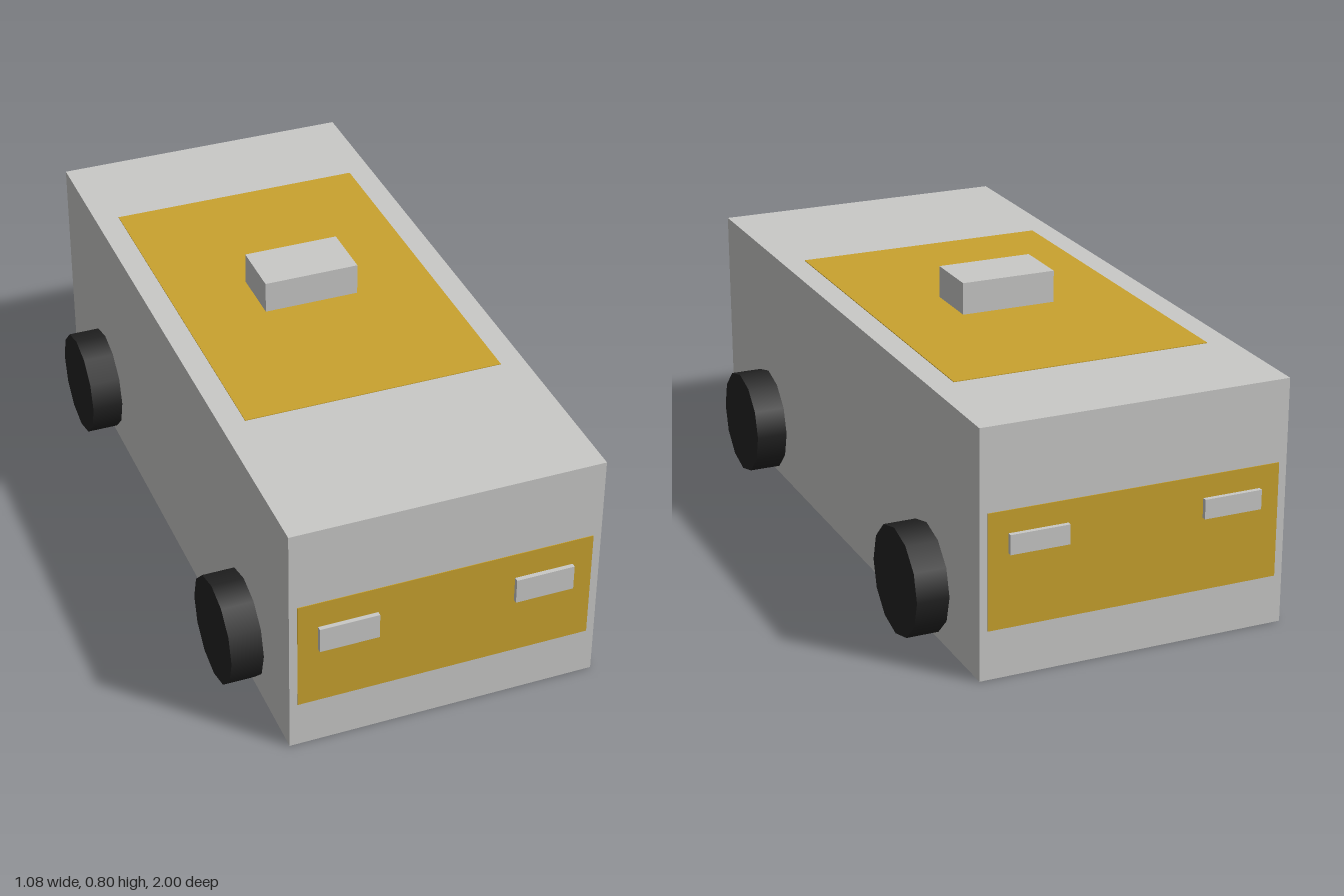
import * as THREE from 'three';

export function createModel() {
  const model = new THREE.Group();
  const bodyGrey = new THREE.MeshStandardMaterial({ name: 'body grey', color: 0xc9c9c7 });
  const panelYellow = new THREE.MeshStandardMaterial({ name: 'panel yellow', color: 0xc9a22e });
  const tyreBlack = new THREE.MeshStandardMaterial({ name: 'tyre black', color: 0x222222 });

  // Box given by its lower and upper limits on each axis
  function block(name, material, [x0, x1], [y0, y1], [z0, z1]) {
    const mesh = new THREE.Mesh(new THREE.BoxGeometry(x1 - x0, y1 - y0, z1 - z0), material);
    mesh.position.set((x0 + x1) / 2, (y0 + y1) / 2, (z0 + z1) / 2);
    mesh.name = name;
    model.add(mesh);
  }

  const top = 0.705, end = 0.985, half = 0.445, skin = 0.002;

  // Body and roof box
  block('body', bodyGrey, [-half, half], [0, top], [-end, end]);
  block('roofBox', bodyGrey, [-0.14, 0.14], [top, 0.8], [-0.18, -0.01]);

  // Painted panels on the roof, front and back
  block('roofPanel', panelYellow, [-0.375, 0.375], [top - skin, top + skin], [-0.66, 0.47]);
  block('frontPanel', panelYellow, [-0.422, 0.422], [0.14, 0.47], [end - skin, end + skin]);
  block('backPanel', panelYellow, [-0.422, 0.422], [0.14, 0.47], [-end - skin, -end + skin]);

  // Lamps and wheels, mirrored left and right
  const wheelGeometry = new THREE.CylinderGeometry(0.155, 0.155, 0.095, 12).rotateZ(Math.PI / 2);
  for (const side of [1, -1]) {
    const label = side > 0 ? 'Left' : 'Right';
    const span = side > 0 ? [0.196, 0.365] : [-0.365, -0.196];
    block('headlamp' + label, bodyGrey, span, [0.316, 0.391], [end - 0.01, 1]);
    block('tailLamp' + label, bodyGrey, span, [0.35, 0.406], [-1, -end + 0.01]);

    for (const z of [0.635, -0.635]) {
      const wheel = new THREE.Mesh(wheelGeometry, tyreBlack);
      wheel.name = (z > 0 ? 'frontWheel' : 'rearWheel') + label;
      wheel.position.set(side * 0.49, 0.155, z);
      model.add(wheel);
    }
  }
  return model;
}
